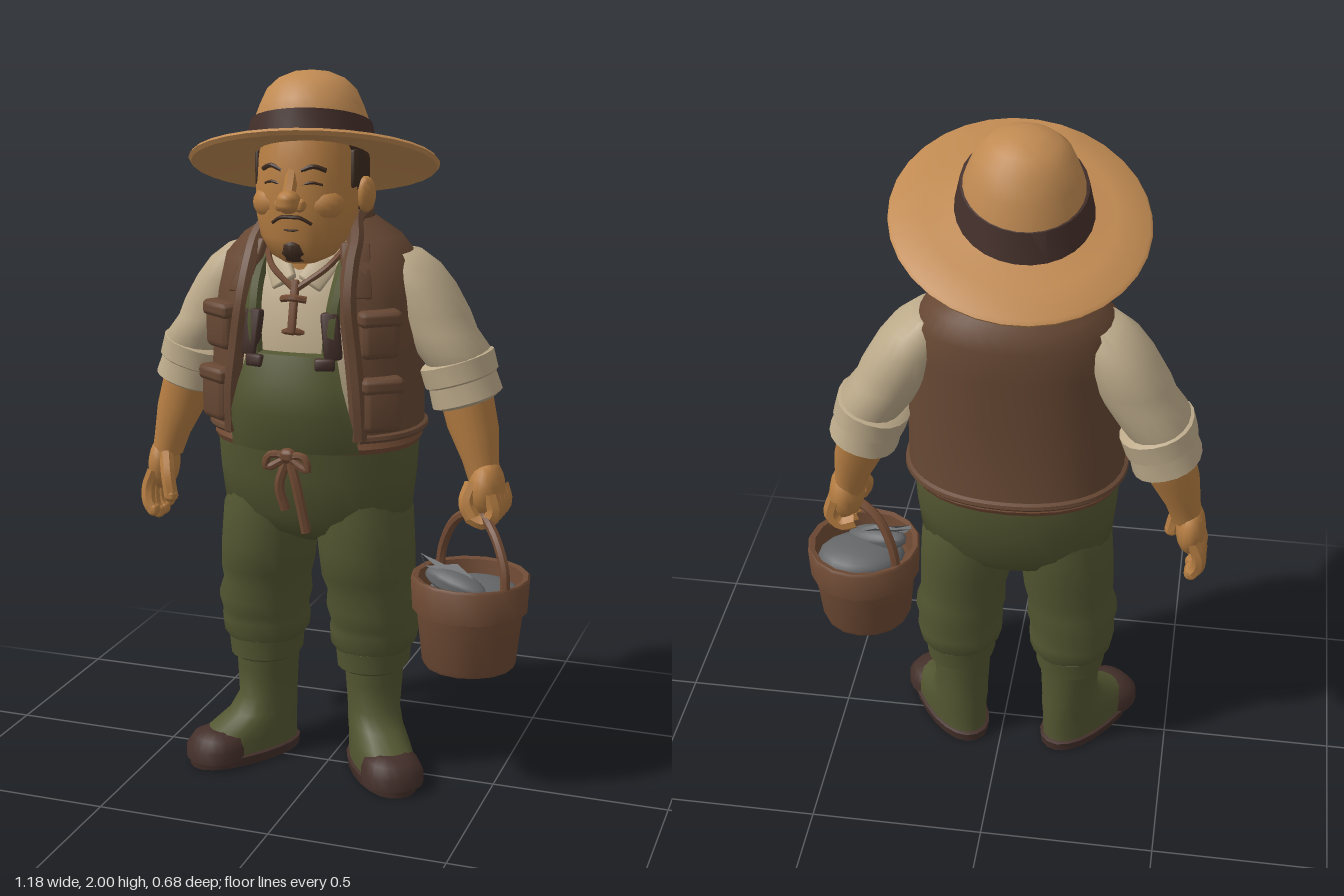
import * as THREE from 'three';
import { toCreasedNormals } from 'three/addons/utils/BufferGeometryUtils.js';
import { RoundedBoxGeometry } from 'three/addons/geometries/RoundedBoxGeometry.js';

const mat = (name, hex, side = THREE.FrontSide) => {
  const m = new THREE.MeshStandardMaterial({ color: hex, side });
  m.name = name;
  return m;
};

// Point on a rounded section [y, cx, cz, rx, rz, startAngle, endAngle]; angle 0 faces +z.
const pow = (v, e) => Math.sign(v) * Math.abs(v) ** e;
const ringPoint = ([y, cx, cz, rx, rz], a, e) =>
  new THREE.Vector3(cx + rx * pow(Math.sin(a), e), y, cz + rz * pow(Math.cos(a), e));

// Skin stacked from bottom to top through sections; sections with angles give an open sheet.
function loft(secs, n = 20, e = 0.9) {
  const open = secs[0].length > 5, w = open ? n + 1 : n, pos = [], idx = [];
  for (const s of secs) {
    const a0 = open ? s[5] : 0, a1 = open ? s[6] : Math.PI * 2;
    for (let j = 0; j < w; j++) pos.push(...ringPoint(s, a0 + (a1 - a0) * j / n, e));
  }
  for (let i = 0; i < secs.length - 1; i++) for (let j = 0; j < n; j++) {
    const a = i * w + j, b = i * w + (j + 1) % w;
    idx.push(a, b, a + w, b, b + w, a + w);
  }
  if (!open) {
    const last = secs.length - 1, c = last * w + w;
    for (const s of [secs[0], secs[last]]) pos.push(s[1], s[0], s[2]);
    for (let j = 0; j < n; j++) {
      const k = (j + 1) % n;
      idx.push(c, k, j, c + 1, last * w + j, last * w + k);
    }
  }
  const g = new THREE.BufferGeometry();
  g.setAttribute('position', new THREE.Float32BufferAttribute(pos, 3));
  g.setIndex(idx);
  return g;
}

const vec = p => new THREE.Vector3(...p);
const rod = (pts, r, n = 16) =>
  new THREE.TubeGeometry(new THREE.CatmullRomCurve3(pts.map(p => p.isVector3 ? p : vec(p))), n, r, 7);
const lathe = (pts, n) => new THREE.LatheGeometry(pts.map(p => new THREE.Vector2(...p)), n);
const box = (w, h, d) => new RoundedBoxGeometry(w, h, d, 2, Math.min(w, h, d) * 0.35);

export function createModel() {
  const straw = mat('straw', 0xc08a52), skin = mat('skin', 0xb57d42), shirt = mat('linen shirt', 0xbcaa8a);
  const vest = mat('brown vest', 0x664733, THREE.DoubleSide), green = mat('olive cloth', 0x535631, THREE.DoubleSide);
  const dark = mat('dark leather', 0x432f2a), hair = mat('dark hair', 0x3f2c20);
  const wood = mat('bucket wood', 0x6e4a34), grey = mat('fish grey', 0x646668, THREE.DoubleSide);
  const cord = mat('cord', 0x704a33);

  const root = new THREE.Group();
  root.name = 'fisherman';
  const body = new THREE.Group();
  body.name = 'figure';
  body.position.x = -0.04;
  root.add(body);

  const add = (name, geo, m, pos = [0, 0, 0], rot = [0, 0, 0], parent = body) => {
    const mesh = new THREE.Mesh(toCreasedNormals(geo, 0.85), m);
    mesh.name = name;
    mesh.position.set(...pos);
    mesh.rotation.set(...rot);
    parent.add(mesh);
    return mesh;
  };
  const ball = (name, m, pos, r, rot, parent) =>
    add(name, new THREE.SphereGeometry(1, 16, 12).scale(...r), m, pos, rot, parent);

  // Torso, trouser seat and bib
  add('shirtBody', loft([
    [1.0, 0, -0.035, 0.28, 0.21], [1.15, 0, -0.025, 0.285, 0.22], [1.27, 0, -0.03, 0.28, 0.215],
    [1.4, 0, -0.035, 0.26, 0.2], [1.5, 0, -0.06, 0.235, 0.175], [1.55, 0, -0.06, 0.17, 0.14], [1.57, 0, -0.04, 0.1, 0.1]
  ], 28), shirt);
  add('trouserSeat', loft([
    [0.695, 0, -0.035, 0.05, 0.09], [0.735, 0, -0.03, 0.2, 0.155], [0.79, 0, -0.03, 0.272, 0.186], [0.9, 0, -0.032, 0.283, 0.212],
    [1.0, 0, -0.03, 0.288, 0.222], [1.07, 0, -0.02, 0.275, 0.225]
  ], 28), green);
  add('bib', loft([
    [0.99, 0, -0.02, 0.27, 0.235, -0.72, 0.72], [1.1, 0, 0, 0.26, 0.255, -0.68, 0.68],
    [1.18, 0, 0, 0.25, 0.243, -0.6, 0.6], [1.26, 0, -0.01, 0.24, 0.222, -0.52, 0.52], [1.265, 0, -0.01, 0.24, 0.2, -0.52, 0.52]
  ], 12), green);
  add('waistCord', loft([
    [0.985, 0, -0.03, 0.29, 0.225], [1.0, 0, -0.03, 0.297, 0.232], [1.015, 0, -0.03, 0.29, 0.225]
  ], 28), cord);
  ball('cordKnot', cord, [0, 0.985, 0.222], [0.025, 0.022, 0.02]);
  for (const s of [-1, 1]) {
    add('cordLoop', rod([[0, 0.985, 0.222], [s * 0.05, 0.985, 0.23], [s * 0.06, 0.95, 0.23], [0, 0.98, 0.225]], 0.011), cord);
    add('cordTail', rod([[0, 0.985, 0.215], [s * 0.025, 0.9, 0.222], [s * 0.03 + 0.02, 0.8 + s * -0.03, 0.215]], 0.014), cord);
  }

  // Open vest with a rolled collar and edge
  const V = (y, cz, rx, rz, o) => [y, 0, cz, rx, rz, o, Math.PI * 2 - o];
  const vestSecs = [
    V(1.03, -0.035, 0.3, 0.24, 0.62), V(1.15, -0.025, 0.302, 0.235, 0.6), V(1.27, -0.03, 0.295, 0.23, 0.56),
    V(1.4, -0.035, 0.282, 0.222, 0.52), V(1.5, -0.06, 0.27, 0.2, 0.52), V(1.555, -0.07, 0.222, 0.172, 0.65),
    V(1.605, -0.07, 0.145, 0.13, 0.95)
  ];
  add('vestShell', loft(vestSecs, 30), vest);
  const edge = vestSecs.map(s => ringPoint(s, s[5], 0.9));
  const flip = p => new THREE.Vector3(-p.x, p.y, p.z);
  add('vestCollarAndEdge', rod([...edge, vec([0.105, 1.62, -0.13]), vec([0, 1.63, -0.175]), vec([-0.105, 1.62, -0.13]),
    ...edge.map(flip).reverse()], 0.024, 70), vest);
  add('vestHem', rod(Array.from({ length: 17 }, (_, i) =>
    ringPoint(vestSecs[0], 0.62 + (Math.PI * 2 - 1.24) * i / 16, 0.9)), 0.012, 48), vest);

  for (const s of [-1, 1]) {
    // Pockets, lapels and straps
    for (const [y, h, x, z] of [[1.12, 0.14, 0.235, 0.13], [1.31, 0.12, 0.225, 0.12]]) {
      add('vestPocket', box(0.11, h, 0.06), vest, [s * x, y, z], [0, s * 0.62, 0]);
      add('pocketFlap', box(0.12, 0.045, 0.072), vest, [s * x, y + h / 2 - 0.01, z], [0, s * 0.62, 0]);
    }
    add('vestLapel', box(0.08, 0.16, 0.025), vest, [s * 0.155, 1.48, 0.105], [-0.5, s * 0.45, s * 0.2]);
    add('shoulderStrap', rod([[s * 0.105, 1.24, 0.185], [s * 0.115, 1.38, 0.17], [s * 0.12, 1.48, 0.105], [s * 0.11, 1.55, 0]], 0.022), green);
    add('strapBuckle', box(0.05, 0.13, 0.03), dark, [s * 0.113, 1.315, 0.185], [-0.1, s * 0.25, s * 0.12]);
    add('strapButton', box(0.055, 0.035, 0.02), dark, [s * 0.1, 1.24, 0.203], [0, s * 0.3, 0]);
    // Shirt collar with a cord
    add('shirtCollar', box(0.075, 0.09, 0.02), shirt, [s * 0.055, 1.475, 0.12], [-0.5, s * 0.3, s * -0.5]);
    add('neckCord', rod([[s * 0.12, 1.55, 0.05], [s * 0.08, 1.49, 0.125], [0, 1.43, 0.16]], 0.009), cord);

    // Sleeves and forearms
    add('sleeve', loft([
      [1.2, s * 0.395, -0.095, 0.088, 0.108], [1.25, s * 0.372, -0.09, 0.102, 0.122], [1.3, s * 0.337, -0.09, 0.1, 0.118],
      [1.35, s * 0.312, -0.09, 0.104, 0.122], [1.42, s * 0.28, -0.09, 0.096, 0.118], [1.475, s * 0.25, -0.085, 0.083, 0.105],
      [1.515, s * 0.22, -0.08, 0.06, 0.08]
    ]), shirt);
    add('rolledCuff', loft([
      [-0.07, 0, 0, 0.08, 0.095], [-0.06, 0, 0, 0.098, 0.115], [-0.005, 0, 0, 0.094, 0.112], [0.0, 0, 0, 0.102, 0.12],
      [0.055, 0, 0, 0.104, 0.122], [0.065, 0, 0, 0.085, 0.1]
    ]), shirt, [s * 0.4, 1.165, -0.095], [0, 0, s * 0.3]);
    add('forearm', loft([
      [0.88, s * 0.482, -0.055, 0.043, 0.05], [0.94, s * 0.467, -0.06, 0.05, 0.057],
      [1.03, s * 0.44, -0.075, 0.07, 0.076], [1.14, s * 0.41, -0.085, 0.075, 0.085]
    ]), skin);

    // Trouser legs with folds and turned-up hems
    add('trouserLeg', loft([
      [0.36, s * 0.165, -0.04, 0.098, 0.118], [0.39, s * 0.165, -0.04, 0.122, 0.135], [0.43, s * 0.167, -0.042, 0.126, 0.136],
      [0.455, s * 0.167, -0.038, 0.12, 0.138], [0.5, s * 0.166, -0.035, 0.132, 0.15], [0.55, s * 0.16, -0.035, 0.122, 0.145],
      [0.6, s * 0.153, -0.025, 0.13, 0.158], [0.68, s * 0.147, -0.025, 0.133, 0.166], [0.78, s * 0.138, -0.03, 0.135, 0.17],
      [0.86, s * 0.125, -0.03, 0.12, 0.16]
    ]), green);
    add('trouserHem', loft([
      [0.31, s * 0.165, -0.04, 0.09, 0.11], [0.318, s * 0.165, -0.04, 0.101, 0.122],
      [0.375, s * 0.165, -0.04, 0.106, 0.127], [0.385, s * 0.165, -0.04, 0.09, 0.11]
    ]), green);

    // Boots turned outward
    const boot = new THREE.Group();
    boot.name = s > 0 ? 'leftBoot' : 'rightBoot';
    boot.position.set(s * 0.165, 0, -0.045);
    boot.rotation.y = s * 0.6;
    body.add(boot);
    add('bootUpper', loft([
      [0.02, 0, 0.085, 0.082, 0.175], [0.07, 0, 0.08, 0.083, 0.17], [0.1, 0, 0.055, 0.08, 0.145], [0.135, 0, 0.018, 0.076, 0.108],
      [0.18, 0, 0, 0.074, 0.088], [0.26, 0, 0, 0.08, 0.09], [0.34, 0, 0, 0.085, 0.096]
    ]), green, undefined, undefined, boot);
    add('bootSole', loft([
      [0, 0, 0.085, 0.086, 0.183], [0.028, 0, 0.085, 0.09, 0.186], [0.033, 0, 0.085, 0.08, 0.172]
    ]), dark, undefined, undefined, boot);
    add('toeCap', loft([
      [0.02, 0, 0.185, 0.088, 0.088], [0.055, 0, 0.185, 0.088, 0.086], [0.085, 0, 0.175, 0.074, 0.074], [0.1, 0, 0.165, 0.04, 0.05]
    ]), dark, undefined, undefined, boot);
  }
  add('shirtToggle', box(0.022, 0.15, 0.02), cord, [0, 1.385, 0.172], [-0.25, 0, 0]);
  for (const y of [1.315, 1.405]) add('toggleBar', rod([[-0.035, y, 0.165], [0, y + 0.006, 0.178], [0.035, y, 0.165]], 0.01), cord);

  // Gripping left hand
  ball('leftPalm', skin, [0.49, 0.865, -0.045], [0.05, 0.085, 0.08]);
  for (let i = 0; i < 4; i++) {
    const z = -0.1 + i * 0.037;
    add('leftFinger', rod([[0.515, 0.87, z], [0.527, 0.815, z], [0.5, 0.785, z], [0.455, 0.8, z]], 0.023, 10), skin);
  }
  add('leftThumb', rod([[0.46, 0.89, 0.0], [0.45, 0.84, 0.025], [0.47, 0.8, 0.03]], 0.022, 10), skin);
  // Relaxed right hand
  ball('rightPalm', skin, [-0.495, 0.85, -0.06], [0.042, 0.08, 0.07]);
  for (let i = 0; i < 4; i++) {
    const z = -0.115 + i * 0.036, end = 0.72 - (i % 3 ? 0.015 : 0);
    add('rightFinger', rod([[-0.505, 0.84, z], [-0.525, 0.785, z], [-0.52, end + 0.02, z + 0.008], [-0.505, end, z + 0.01]], 0.02, 10), skin);
    ball('rightFingertip', skin, [-0.505, end, z + 0.01], [0.02, 0.02, 0.02]);
  }
  add('rightThumb', rod([[-0.47, 0.89, -0.02], [-0.45, 0.83, 0.015], [-0.44, 0.775, 0.02]], 0.021, 10), skin);
  ball('rightThumbTip', skin, [-0.44, 0.775, 0.02], [0.021, 0.021, 0.021]);

  // Head and face
  add('neck', new THREE.CylinderGeometry(0.1, 0.115, 0.2, 18), skin, [0, 1.52, 0.015]);
  add('head', loft([
    [1.5, 0, 0.09, 0.05, 0.06], [1.52, 0, 0.085, 0.088, 0.092], [1.57, 0, 0.07, 0.123, 0.118], [1.63, 0, 0.06, 0.138, 0.132],
    [1.68, 0, 0.06, 0.138, 0.135], [1.72, 0, 0.057, 0.134, 0.132], [1.78, 0, 0.05, 0.132, 0.137], [1.86, 0, 0.03, 0.12, 0.125]
  ], 24, 0.95), skin);
  add('backHair', loft([
    [1.59, 0, -0.03, 0.09, 0.09], [1.63, 0, -0.025, 0.128, 0.125], [1.7, 0, -0.02, 0.144, 0.135], [1.82, 0, -0.005, 0.146, 0.14]
  ]), hair);
  ball('nose', skin, [0, 1.672, 0.205], [0.032, 0.032, 0.038]);
  add('noseBridge', rod([[0, 1.75, 0.172], [0, 1.71, 0.19], [0, 1.67, 0.212]], 0.018), skin);
  add('goatee', loft([
    [1.508, 0, 0.13, 0.03, 0.042], [1.53, 0, 0.125, 0.046, 0.066], [1.555, 0, 0.125, 0.04, 0.068], [1.565, 0, 0.13, 0.02, 0.056]
  ], 14), hair);
  add('moustache', rod([[-0.055, 1.612, 0.177], [-0.028, 1.628, 0.189], [0, 1.63, 0.193], [0.028, 1.628, 0.189], [0.055, 1.612, 0.177]], 0.0055), hair);
  add('mouth', rod([[-0.045, 1.6, 0.177], [0, 1.594, 0.187], [0.045, 1.6, 0.177]], 0.004), hair);
  for (const s of [-1, 1]) {
    ball('nostril', skin, [s * 0.027, 1.662, 0.192], [0.018, 0.018, 0.02]);
    ball('cheek', skin, [s * 0.066, 1.66, 0.125], [0.062, 0.05, 0.056]);
    ball('ear', skin, [s * 0.148, 1.675, 0.0], [0.022, 0.05, 0.032], [0.15, s * -0.4, 0]);
    add('sideburn', box(0.012, 0.1, 0.045), hair, [s * 0.135, 1.75, 0.06], [0, s * 0.08, 0]);
    add('eye', rod([[s * 0.032, 1.715, 0.182], [s * 0.055, 1.721, 0.177], [s * 0.08, 1.714, 0.162]], 0.0045), hair);
    add('eyebrow', rod([[s * 0.027, 1.752, 0.18], [s * 0.058, 1.763, 0.174], [s * 0.088, 1.752, 0.156]], 0.007), hair);
  }

  // Straw hat, tilted by a shear that fades toward the top of the crown
  const tilt = g => {
    const p = g.attributes.position;
    for (let i = 0; i < p.count; i++) {
      const x = p.getX(i), y = p.getY(i), z = p.getZ(i);
      const k = 1 - 0.75 * THREE.MathUtils.smoothstep(y, 0.08, 0.24);
      p.setY(i, 1.755 + y + k * (0.33 * z + 0.087 * x));
    }
    return g;
  };
  add('hatBrim', tilt(lathe([[0.15, 0.02], [0.25, 0.005], [0.335, -0.01], [0.342, 0], [0.335, 0.008], [0.25, 0.02], [0.15, 0.045]], 32)), straw);
  add('hatCrown', tilt(lathe([[0.17, 0.02], [0.16, 0.1], [0.142, 0.15], [0.122, 0.195], [0.09, 0.225], [0.045, 0.243], [0, 0.247]], 28)),
    straw, [-0.012, 0, -0.015]);
  add('hatBand', tilt(lathe([[0.17, 0.028], [0.182, 0.032], [0.166, 0.105], [0.152, 0.108]], 28)), dark, [-0.012, 0, -0.01]);

  // Bucket with handle and catch
  const bucket = new THREE.Group();
  bucket.name = 'bucket';
  bucket.position.set(0.425, 0, 0.015);
  root.add(bucket);
  add('bucketTub', lathe([[0, 0.37], [0.128, 0.37], [0.134, 0.385], [0.15, 0.53], [0.163, 0.535], [0.168, 0.625], [0.162, 0.632],
    [0.147, 0.628], [0.138, 0.56], [0, 0.56]], 16), wood, undefined, undefined, bucket);
  add('bucketHandle', rod([[-0.115, 0.6, -0.09], [-0.105, 0.68, -0.085], [-0.06, 0.77, -0.06], [0.01, 0.805, -0.025],
    [0.07, 0.77, 0.035], [0.115, 0.68, 0.08], [0.12, 0.6, 0.09]], 0.014, 28), cord, undefined, undefined, bucket);
  ball('fishBody', grey, [0.01, 0.58, 0.0], [0.13, 0.045, 0.1], [0, 0.2, 0], bucket);
  ball('secondFish', grey, [-0.03, 0.615, 0.045], [0.1, 0.035, 0.045], [0, -0.3, -0.2], bucket);
  const fin = new THREE.Shape([[0.03, 0], [-0.03, 0.01], [-0.13, 0.075], [-0.11, 0.04], [-0.02, 0.055], [0.03, 0.02]].map(p => new THREE.Vector2(...p)));
  add('fishTail', new THREE.ExtrudeGeometry(fin, { depth: 0.012, bevelEnabled: false }), grey, [-0.01, 0.615, 0.05], [-0.5, 0, 0], bucket);

  return root;
}
